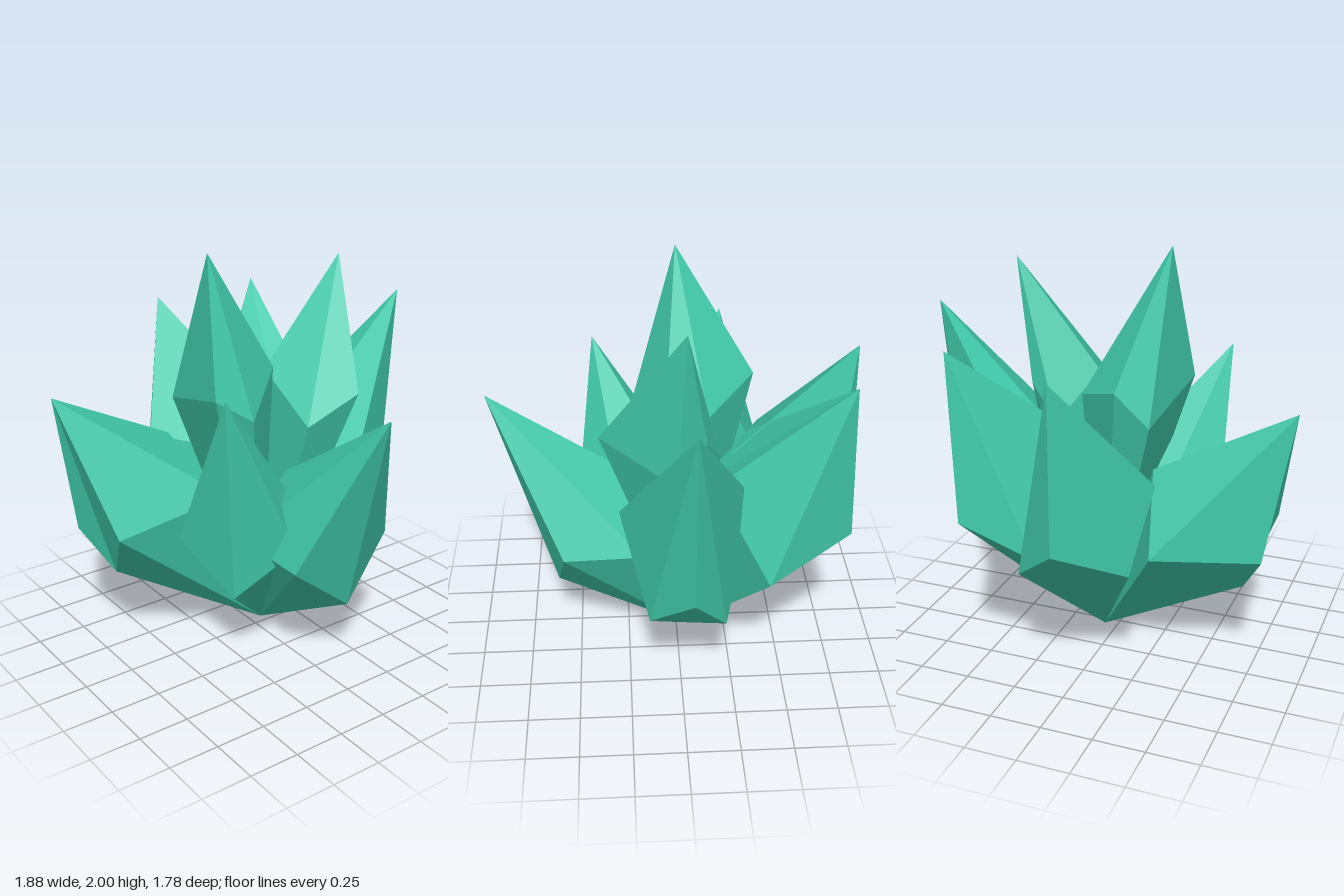
import * as THREE from 'three';

const BASE = new THREE.Vector3(0.065, 0, -0.045);
const hex = (twist) => [0, 1, 2, 3, 4, 5].map((i) => twist - i * 60);

// Each leaf: tip, shoulder heights (upper, lower) and radius as fractions of
// its length, and six shoulder angles about its axis (0 = outward).
const LEAVES = [
  { name: 'frontLeaf', tip: [0.06, 1.4, 0.9], up: 0.52, low: 0.39, r: [0.2], ring: [55, -8, -67, -122, -180, -240] },
  { name: 'frontRightLeaf', tip: [-0.45, 1.45, 0.4], up: 0.51, low: 0.38, r: [0.205], ring: hex(60) },
  { name: 'rightLeaf', tip: [-0.94, 1.37, -0.29], up: 0.63, low: 0.48, r: [0.208], ring: [14, -5, -53, -145, -215, -270] },
  { name: 'leftLeaf', tip: [0.94, 1.65, -0.04], up: 0.55, low: 0.4, r: [0.19], ring: [112, 34, 0, -26, -121, -180] },
  { name: 'backLeftLeaf', tip: [0.52, 1.63, -0.76], up: 0.62, low: 0.48, r: [0.205], ring: [130, 52, -9, -52, -148, -200] },
  { name: 'backLeaf', tip: [-0.01, 1.58, -0.87], up: 0.61, low: 0.46, r: [0.21], ring: [158, 36, 0, -50, -103, -190] },
  // Slim upright leaves with uneven shoulders
  {
    name: 'innerRightLeaf', tip: [-0.26, 2, -0.01], up: 0.69, low: 0.62,
    r: [0.18, 0.165, 0.12, 0.115, 0.12, 0.15], ring: [103, 73, -38, -78, -158, -198],
  },
  {
    name: 'innerLeftLeaf', tip: [0.52, 1.9, -0.02], up: 0.69, low: 0.59,
    r: [0.205, 0.06, 0.05, 0.095, 0.155, 0.21], ring: [93, 20, -75, -120, -180, -236],
  },
];

// Faceted leaf: pointed base, six alternating shoulder points, pointed tip
function leafGeometry({ tip, up, low, r, ring }) {
  const T = new THREE.Vector3(...tip);
  const axis = T.clone().sub(BASE);
  const length = axis.length();
  axis.normalize();
  const side = new THREE.Vector3(-axis.z, 0, axis.x).normalize();
  const out = side.clone().cross(axis).normalize();
  if (out.x * axis.x + out.z * axis.z < 0) out.negate();

  const P = ring.map((deg, i) => {
    const a = THREE.MathUtils.degToRad(deg);
    const radius = length * r[i % r.length];
    return BASE.clone()
      .addScaledVector(axis, length * (i % 2 ? low : up))
      .addScaledVector(out, radius * Math.cos(a))
      .addScaledVector(side, radius * Math.sin(a));
  });

  const tris = [];
  for (let i = 0; i < 6; i += 2) {
    const prev = P[(i + 5) % 6], next = P[(i + 1) % 6], after = P[(i + 2) % 6];
    tris.push(T, P[i], next, T, next, after); // facet meeting the tip
    tris.push(BASE, next, P[i], BASE, P[i], prev); // facet meeting the base
  }
  const geometry = new THREE.BufferGeometry().setFromPoints(tris);
  geometry.computeVertexNormals();
  return geometry;
}

export function createModel() {
  const plant = new THREE.Group();
  plant.name = 'succulent';
  const material = new THREE.MeshStandardMaterial({
    color: 0x40c8a8, flatShading: true, side: THREE.DoubleSide,
  });
  for (const leaf of LEAVES) {
    const mesh = new THREE.Mesh(leafGeometry(leaf), material);
    mesh.name = leaf.name;
    plant.add(mesh);
  }
  return plant;
}
